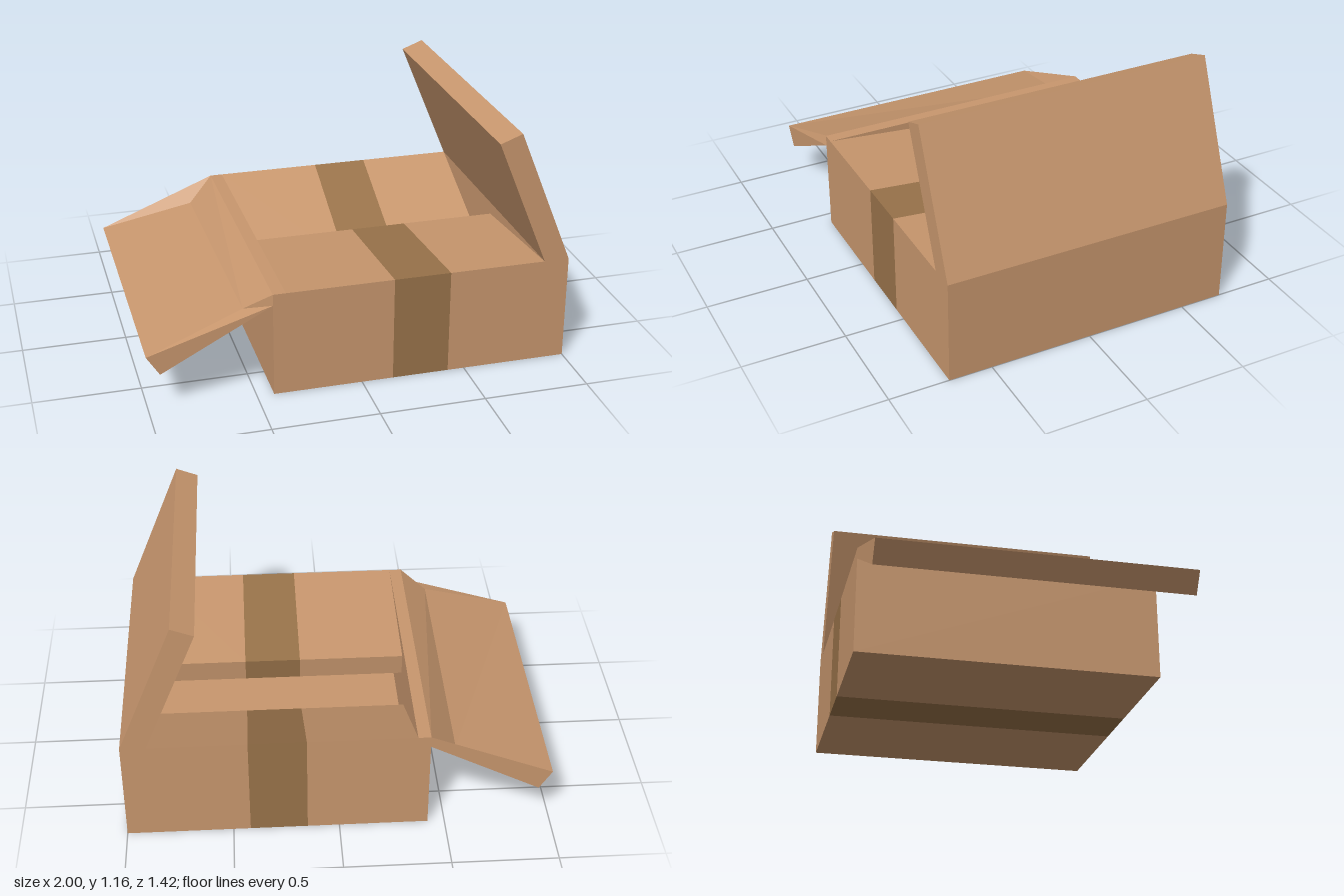
import * as THREE from 'three';

const cardboard = new THREE.MeshStandardMaterial({ color: 0xc8976e, side: THREE.DoubleSide });
cardboard.name = 'cardboard';
const tape = new THREE.MeshStandardMaterial({ color: 0x99734a, side: THREE.DoubleSide });
tape.name = 'packing tape';

const HALF = 0.71; // half depth of the box

// Flat-shaded mesh from polygons of [x, y, z] corners
function facets(name, polygons, material) {
  const pos = [];
  for (const p of polygons) {
    for (let i = 1; i < p.length - 1; i++) pos.push(...p[0], ...p[i], ...p[i + 1]);
  }
  const g = new THREE.BufferGeometry();
  g.setAttribute('position', new THREE.Float32BufferAttribute(pos, 3));
  g.computeVertexNormals();
  const m = new THREE.Mesh(g, material);
  m.name = name;
  return m;
}

// Sweep an open [z, y] path sideways from x0 to x1
function strip(name, path, x0, x1, material) {
  const polys = [];
  for (let i = 0; i < path.length - 1; i++) {
    const [pz, py] = path[i], [qz, qy] = path[i + 1];
    polys.push([[x0, py, pz], [x0, qy, qz], [x1, qy, qz], [x1, py, pz]]);
  }
  return facets(name, polys, material);
}

// Extrude an [x, y] outline through the full depth
function slab(name, outline) {
  const shape = new THREE.Shape(outline.map(([x, y]) => new THREE.Vector2(x, y)));
  const g = new THREE.ExtrudeGeometry(shape, { depth: 2 * HALF, bevelEnabled: false });
  g.translate(0, 0, -HALF);
  const m = new THREE.Mesh(g, cardboard);
  m.name = name;
  return m;
}

export function createModel() {
  const group = new THREE.Group();
  group.name = 'openBox';

  // Outer skin: front flap, front wall, base, back wall, sunken back flap
  const outer = [[0.02, 0.34], [0.01, 0.45], [HALF, 0.51], [HALF, 0], [-HALF, 0],
    [-HALF, 0.51], [-0.10, 0.23], [-0.146, 0.13]];
  // Inner skin, closing the thickness of the board
  const inner = [[-0.146, 0.13], [-0.6, 0.34], [-0.6, 0.08], [0.6, 0.08], [0.6, 0.39], [0.02, 0.34]];
  group.add(
    strip('outerShellRight', outer, -0.36, 0.15, cardboard),
    strip('tapeBand', outer, 0.15, 0.42, tape),
    strip('outerShellLeft', outer, 0.42, 0.88, cardboard),
    strip('innerShell', inner, -0.36, 0.88, cardboard),
  );

  // Side walls and the raised flap
  group.add(
    slab('rightWall', [[-0.42, 0], [-0.36, 0], [-0.36, 0.51], [-0.42, 0.51]]),
    slab('leftWall', [[0.88, 0], [1, 0], [1, 0.51], [0.88, 0.51]]),
    slab('raisedFlap', [[0.88, 0.51], [1, 0.51], [0.735, 1.16], [0.63, 1.12]]),
  );

  // Drooping flap, pinched near its crease
  const corner = (s) => ({
    end: [-1, 0.275, s * HALF],
    endLow: [-0.94, 0.18, s * HALF],
    mid: [-0.545, s > 0 ? 0.425 : 0.395, s * 0.645],
    hinge: [-0.42, 0.51, s * HALF],
    hingeLow: [-0.42, 0.455, s * HALF],
  });
  const f = corner(1), b = corner(-1);
  group.add(facets('droopingFlap', [
    [f.end, f.mid, b.mid, b.end],
    [f.mid, f.hinge, b.hinge, b.mid],
    [f.endLow, b.endLow, b.hingeLow, f.hingeLow],
    [f.end, b.end, b.endLow, f.endLow],
    [f.end, f.endLow, f.hingeLow, f.mid],
    [f.mid, f.hingeLow, f.hinge],
    [b.end, b.hinge, b.hingeLow, b.endLow],
    [b.end, b.mid, b.hinge],
  ], cardboard));

  return group;
}
